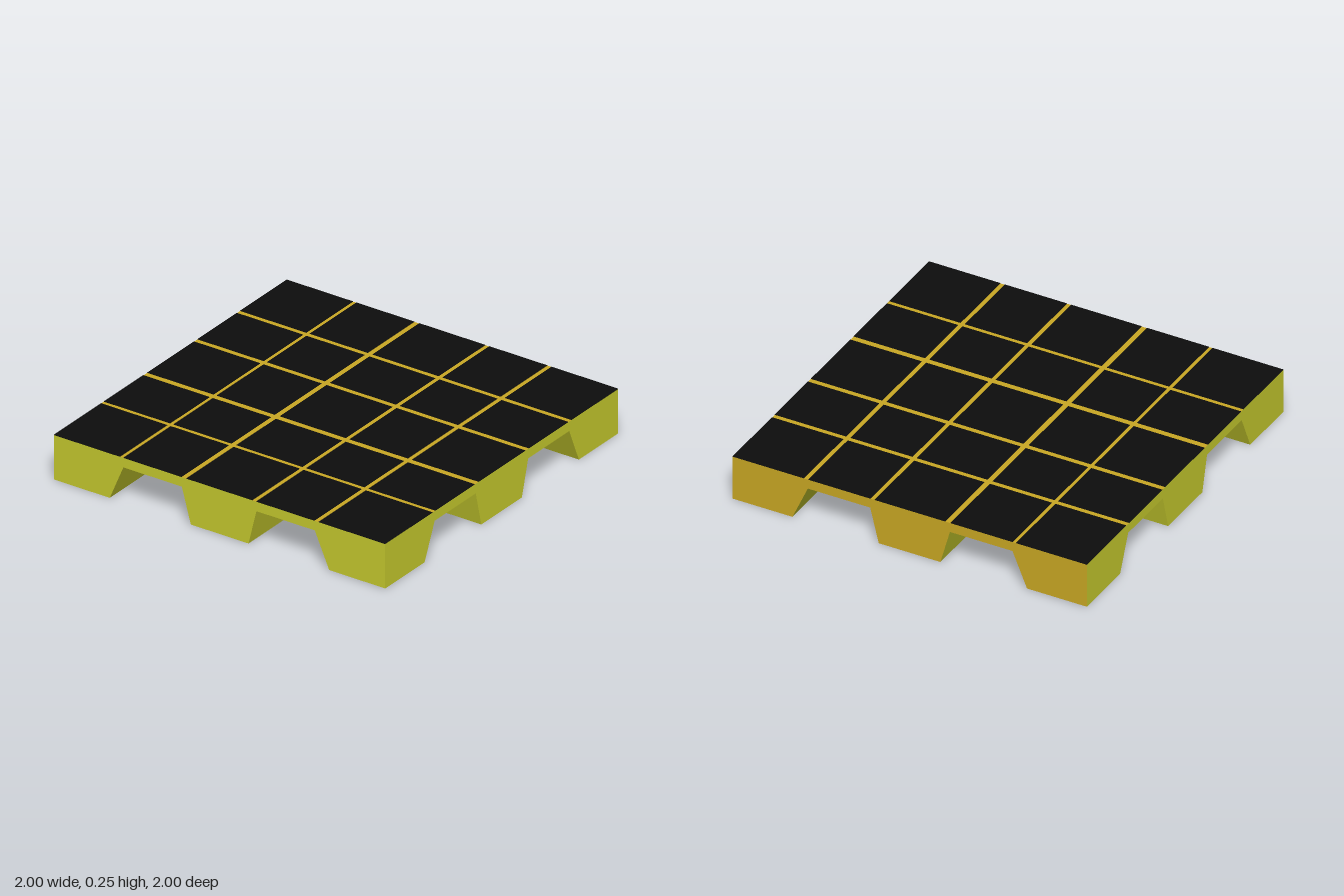
import * as THREE from 'three';

const TOP = 0.25, UNDER = 0.195, SHORT = 0.065;

export function createModel() {
  const group = new THREE.Group();
  const green = new THREE.MeshStandardMaterial({ color: 0xc8cc2e });
  green.name = 'yellow green';
  const gold = new THREE.MeshStandardMaterial({ color: 0xc9a824 });
  gold.name = 'gold';
  const black = new THREE.MeshStandardMaterial({ color: 0x0d0d0d });
  black.name = 'black';
  const webGreen = green.clone();
  webGreen.name = 'yellow green, two sided';
  webGreen.side = THREE.DoubleSide;

  const add = (name, geometry, material) => {
    const mesh = new THREE.Mesh(geometry, material);
    mesh.name = name;
    group.add(mesh);
    return mesh;
  };

  // Block whose top and bottom rectangles may differ: [min, max] spans in x and z
  const block = (y0, y1, x0, z0, x1 = x0, z1 = z0) => {
    const g = new THREE.BoxGeometry(1, 1, 1);
    const p = g.attributes.position;
    for (let i = 0; i < p.count; i++) {
      const up = p.getY(i) > 0;
      const xs = up ? x1 : x0, zs = up ? z1 : z0;
      p.setXYZ(i, xs[p.getX(i) > 0 ? 1 : 0], up ? y1 : y0, zs[p.getZ(i) > 0 ? 1 : 0]);
    }
    g.computeVertexNormals();
    return g;
  };

  // Slab: gold on top and at the back
  const full = [-1, 1];
  add('slab', block(UNDER, TOP - 0.002, full, full), [green, green, gold, green, green, gold]);

  // Black tiles with gold seams left between them
  const spans = (lines) => {
    const edges = [[-1, 0], ...lines, [1, 0]];
    return edges.slice(1).map(([c, w], i) => [edges[i][0] + edges[i][1] / 2, c - w / 2]);
  };
  const tileX = spans([[-0.59, 0.02], [-0.215, 0.03], [0.21, 0.024], [0.585, 0.025]]);
  const tileZ = spans([[-0.585, 0.028], [-0.218, 0.03], [0.215, 0.034], [0.582, 0.024]]);
  for (const x of tileX) {
    for (const z of tileZ) add('tile', block(TOP - 0.002, TOP, x, z), black);
  }

  // Nine long tapered feet reaching the ground
  const footTop = [[-1, -0.58], [-0.227, 0.223], [0.575, 1]];
  const footBottom = [[-1, -0.662], [-0.173, 0.175], [0.662, 1]];
  for (let i = 0; i < 3; i++) {
    for (let j = 0; j < 3; j++) {
      const back = j === 0;
      add('foot', block(0, UNDER, footBottom[i], footBottom[j], footTop[i], footTop[j]),
        [back && i < 2 ? gold : green, green, green, green, green, back ? gold : green]);
    }
  }

  // Four short blocks between the feet, each joined to four feet by corner webs
  const gaps = [[-0.58, -0.227], [0.223, 0.575]];
  const gapBottom = [[-0.662, -0.173], [0.175, 0.662]];
  for (let i = 0; i < 2; i++) {
    for (let j = 0; j < 2; j++) {
      add('shortBlock', block(SHORT, UNDER, gaps[i], gaps[j]), green);
      for (let a = 0; a < 2; a++) {
        for (let b = 0; b < 2; b++) {
          const x = gaps[i][a], z = gaps[j][b];
          const web = new THREE.BufferGeometry().setFromPoints([
            new THREE.Vector3(x, UNDER, z),
            new THREE.Vector3(x, SHORT, z),
            new THREE.Vector3(gapBottom[i][a], 0, gapBottom[j][b]),
          ]);
          web.computeVertexNormals();
          add('cornerWeb', web, webGreen);
        }
      }
    }
  }
  return group;
}
